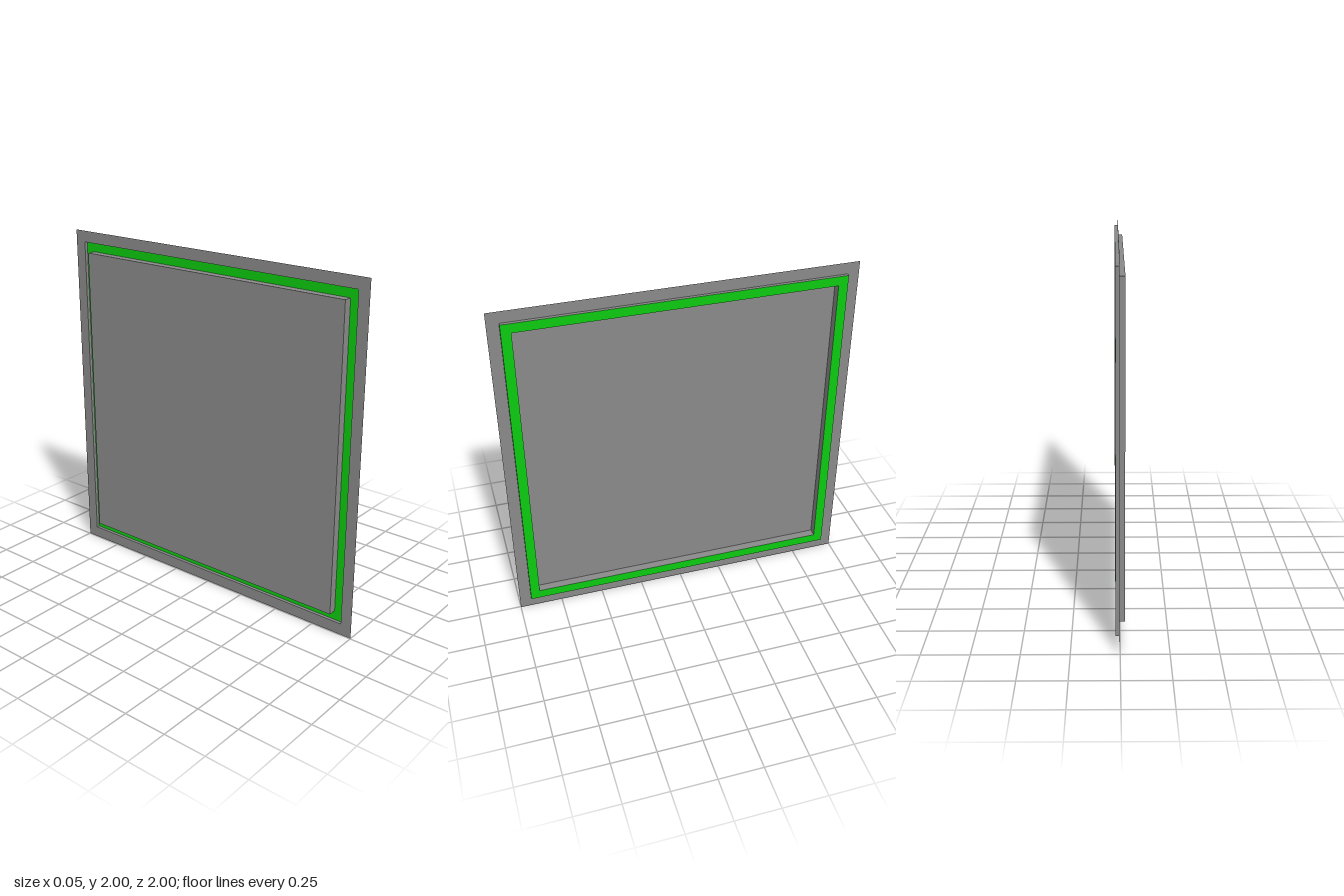
import * as THREE from 'three';

// Flat or stepped band joining two square loops, each given as [half size, x]
function squareBand([a, xa], [b, xb]) {
  const corners = [[-1, 1], [-1, -1], [1, -1], [1, 1]]; // y, z signs, anticlockwise seen from +x
  const pos = [];
  for (let i = 0; i < 4; i++) {
    const [y0, z0] = corners[i];
    const [y1, z1] = corners[(i + 1) % 4];
    const A = [xa, y0 * a, z0 * a], B = [xa, y1 * a, z1 * a];
    const C = [xb, y1 * b, z1 * b], D = [xb, y0 * b, z0 * b];
    pos.push(...A, ...B, ...C, ...A, ...C, ...D);
  }
  const g = new THREE.BufferGeometry();
  g.setAttribute('position', new THREE.Float32BufferAttribute(pos, 3));
  g.computeVertexNormals();
  return g;
}

export function createModel() {
  const grey = new THREE.MeshStandardMaterial({ color: 0x8a8a8a, side: THREE.DoubleSide });
  grey.name = 'panel grey';
  const green = new THREE.MeshStandardMaterial({ color: 0x0ccc10, side: THREE.DoubleSide });
  green.name = 'border green';

  const group = new THREE.Group();
  group.name = 'framedPanel';
  const add = (name, geometry, material) => {
    const mesh = new THREE.Mesh(geometry, material);
    mesh.name = name;
    mesh.position.y = 1;
    group.add(mesh);
    return mesh;
  };

  // Depths of the pressed sheet along x, and half sizes of its steps
  const rimX = 0.004, raisedX = 0.023, panelX = -0.025;
  const outer = 1, step = 0.934, inner = 0.88;

  add('rim', squareBand([outer, rimX], [step, rimX]), grey);
  add('borderOuterWall', squareBand([step, rimX], [step, raisedX]), grey);
  add('raisedBorder', squareBand([step, raisedX], [inner, raisedX]), green);
  add('recessWall', squareBand([inner, raisedX], [inner, panelX]), grey);

  // Recessed centre panel
  const panel = add('centrePanel', new THREE.PlaneGeometry(inner * 2, inner * 2), grey);
  panel.rotation.y = Math.PI / 2;
  panel.position.x = panelX;

  return group;
}
